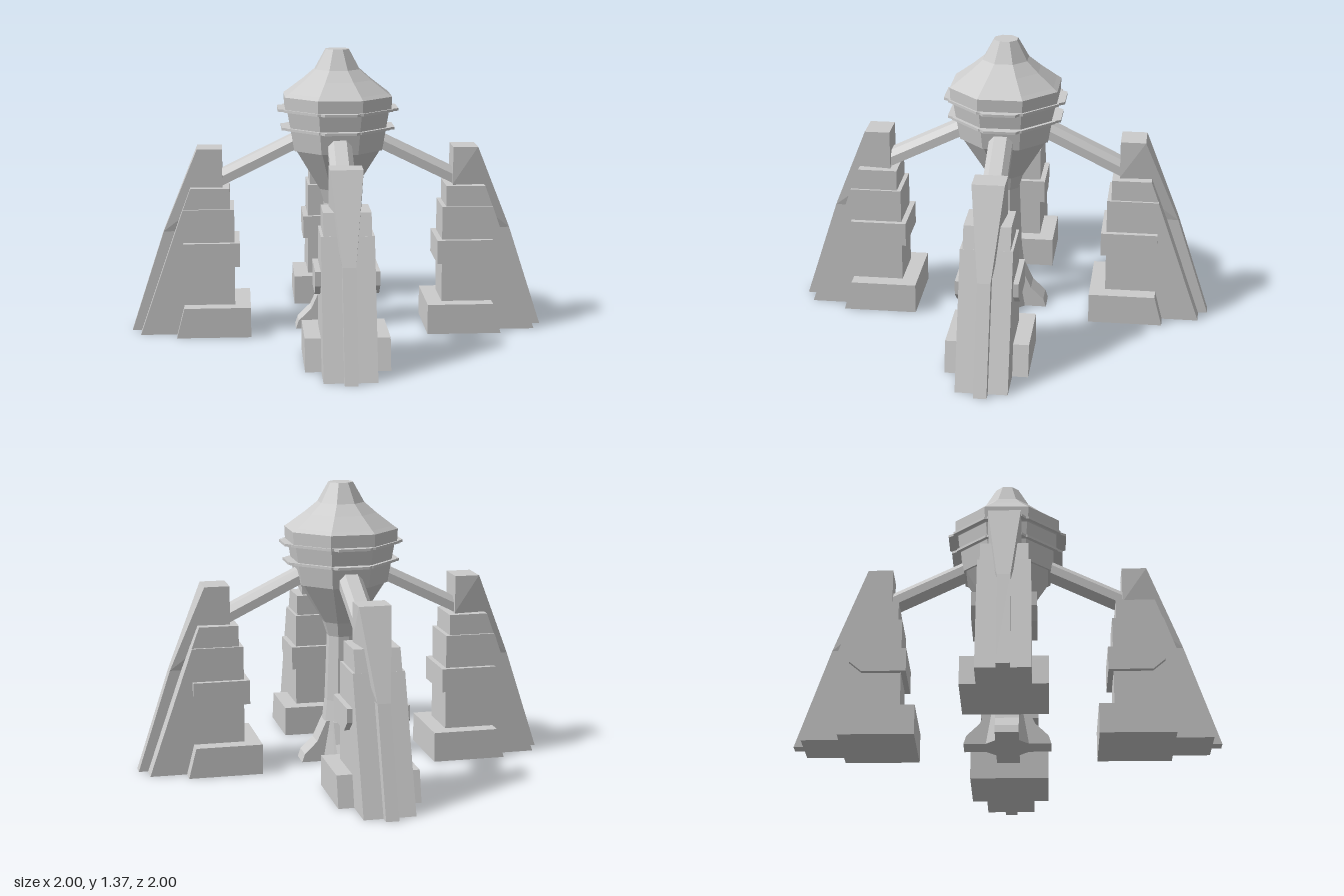
import * as THREE from 'three';
import { ConvexGeometry } from 'three/addons/geometries/ConvexGeometry.js';

const material = new THREE.MeshStandardMaterial({ color: 0xcccccc, flatShading: true });

function part(parent, name, geometry) {
  const mesh = new THREE.Mesh(geometry, material);
  mesh.name = name;
  parent.add(mesh);
  return mesh;
}

// Extrudes an outline in the XY plane, centred on z = 0
function slab(points, halfDepth) {
  const shape = new THREE.Shape(points.map(([x, y]) => new THREE.Vector2(x, y)));
  return new THREE.ExtrudeGeometry(shape, { depth: halfDepth * 2, bevelEnabled: false })
    .translate(0, 0, -halfDepth);
}

// Eight-sided solid with flats facing the axes; radii are measured to the flats
function octagon(profile) {
  const k = 1 / Math.cos(Math.PI / 8);
  const points = profile.map(([r, y]) => new THREE.Vector2(r * k, y));
  return new THREE.LatheGeometry(points, 8, Math.PI / 8);
}

// Stepped buttress pier standing on the +x side
function createPier() {
  const pier = new THREE.Group();
  part(pier, 'pierBase', slab([[0.425, 0], [0.78, 0], [0.743, 0.145], [0.425, 0.145]], 0.193));
  part(pier, 'pierBody', slab([[0.5, 0], [0.955, 0], [0.745, 0.61], [0.5, 0.61]], 0.12));
  part(pier, 'pierCleat', slab(
    [[0.475, 0.335], [0.685, 0.335], [0.745, 0.385], [0.745, 0.45], [0.475, 0.45]], 0.145));
  part(pier, 'pierShoulder', slab([[0.52, 0.6], [0.748, 0.6], [0.708, 0.71], [0.52, 0.71]], 0.108));
  part(pier, 'pierSpine', slab(
    [[0.6, 0], [1, 0], [0.84, 0.49], [0.68, 0.88], [0.6, 0.88]], 0.03));

  // Spire head tapering down into the spine
  const corners = [];
  for (const s of [-1, 1]) {
    for (const [x, y, z] of [[0.555, 0.895, 0.075], [0.675, 0.895, 0.075], [0.555, 0.715, 0.075],
      [0.84, 0.49, 0.03], [0.555, 0.49, 0.03]]) {
      corners.push(new THREE.Vector3(x, y, z * s));
    }
  }
  part(pier, 'pierSpire', new ConvexGeometry(corners));
  return pier;
}

// Sloping strut from hub to spire: chamfered section, sheared downwards
function createArm() {
  const section = [[-0.056, -0.075], [0.056, -0.075], [0.056, -0.03], [0.03, 0], [-0.03, 0], [-0.056, -0.03]];
  const geometry = slab(section, 0.21).rotateY(Math.PI / 2).translate(0.36, 0, 0);
  const position = geometry.attributes.position;
  for (let i = 0; i < position.count; i++) {
    position.setY(i, position.getY(i) + 0.965 - 0.49 * (position.getX(i) - 0.2));
  }
  geometry.computeVertexNormals();
  return geometry;
}

export function createModel() {
  const model = new THREE.Group();
  model.name = 'tower';

  // Central tower
  part(model, 'column', octagon([
    [0, 0], [0.11, 0], [0.092, 0.15], [0.075, 0.3], [0.064, 0.62], [0.085, 0.69],
    [0.205, 0.895], [0, 0.895]]));
  part(model, 'hub', octagon([
    [0, 0.885], [0.21, 0.885], [0.24, 1.07], [0.252, 1.08], [0.255, 1.145], [0.235, 1.16], [0, 1.16]]));
  part(model, 'dome', octagon([
    [0, 1.155], [0.235, 1.16], [0.16, 1.22], [0.105, 1.27], [0.055, 1.365], [0, 1.365]]));

  // Thin ledges around the hub
  const ledges = [[1.08, 0.262, 0.288], [0.99, 0.245, 0.27]];
  for (const [y, r] of ledges) {
    part(model, 'ledge', octagon([[0, y - 0.006], [r, y - 0.006], [r, y + 0.006], [0, y + 0.006]]));
  }

  // Four identical sides
  for (let i = 0; i < 4; i++) {
    const side = new THREE.Group();
    side.name = 'side' + (i + 1);
    side.rotation.y = i * Math.PI / 2;
    const pier = createPier();
    pier.name = 'pier';
    side.add(pier);
    part(side, 'arm', createArm());
    part(side, 'foot', slab([
      [0.03, 0], [0.205, 0], [0.192, 0.04], [0.13, 0.1], [0.085, 0.2], [0.03, 0.2]], 0.055));
    for (const [y, r, reach] of ledges) {
      const tab = slab([[0.1, -0.1], [r - 0.01, -0.1], [reach, -0.075],
        [reach, 0.075], [r - 0.01, 0.1], [0.1, 0.1]], 0.006);
      part(side, 'ledgeTab', tab.rotateX(-Math.PI / 2).translate(0, y, 0));
    }
    model.add(side);
  }
  return model;
}
